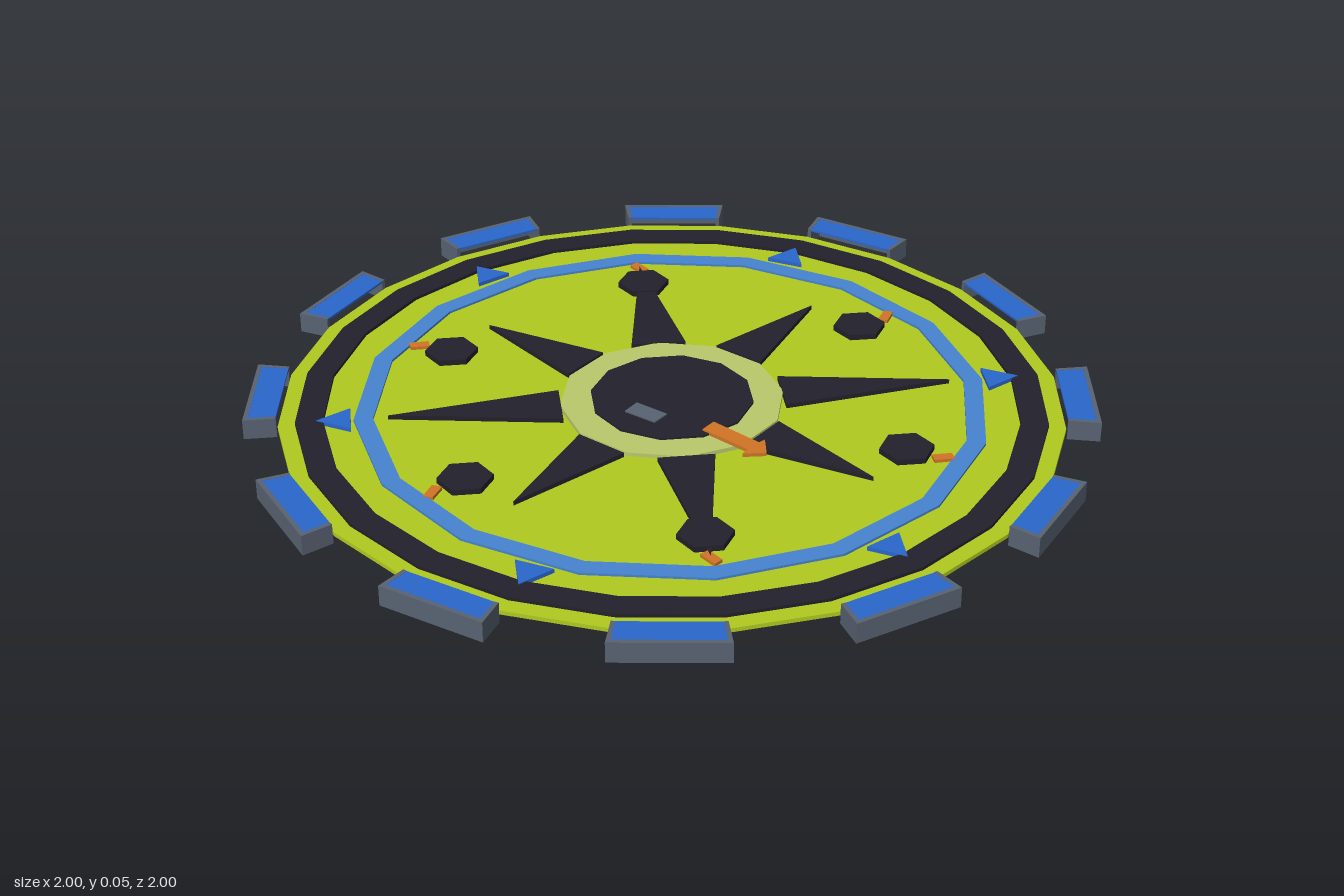
import * as THREE from 'three';

const mat = (name, color) => Object.assign(new THREE.MeshStandardMaterial({ color }), { name });

const RAD = Math.PI / 180;
// point on the plan: angle in degrees, counter-clockwise seen from above
const polar = (r, deg) => [r * Math.cos(deg * RAD), r * Math.sin(deg * RAD)];
// corners of a regular polygon
const ngon = (r, n, start = 0, cx = 0, cy = 0) =>
  Array.from({ length: n }, (_, i) => {
    const [x, y] = polar(r, start + (i * 360) / n);
    return [x + cx, y + cy];
  });
const turn = (pts, deg) => {
  const c = Math.cos(deg * RAD), s = Math.sin(deg * RAD);
  return pts.map(([x, y]) => [x * c - y * s, x * s + y * c]);
};

export function createModel() {
  const model = new THREE.Group();
  model.name = 'dialDisc';

  const lime = mat('lime', 0xb1ca20);
  const paleLime = mat('paleLime', 0xbbc96c);
  const black = mat('black', 0x22212c);
  const blue = mat('blue', 0x2a66cc);
  const lightBlue = mat('lightBlue', 0x4684d0);
  const grey = mat('grey', 0x586272);
  const orange = mat('orange', 0xd07426);

  // flat plate from a plan outline (second axis points to the back), between two heights
  function plate(name, pts, y0, y1, material, hole) {
    const v = (list) => list.map(([x, y]) => new THREE.Vector2(x, y));
    const shape = new THREE.Shape(v(pts));
    if (hole) shape.holes.push(new THREE.Path(v(hole)));
    const geo = new THREE.ExtrudeGeometry(shape, { depth: y1 - y0, bevelEnabled: false });
    geo.rotateX(-Math.PI / 2);
    geo.translate(0, y0, 0);
    const mesh = new THREE.Mesh(geo, material);
    mesh.name = name;
    model.add(mesh);
  }

  // base disc and its two rings
  const top = 0.028;
  plate('disc', ngon(0.92, 24), 0.018, top, lime);
  plate('outerRing', ngon(0.88, 24), top, 0.036, black, ngon(0.815, 24));
  plate('innerRing', ngon(0.745, 16), top, 0.034, lightBlue, ngon(0.7, 16));

  // rim teeth: open-bottomed grey walls around a blue top
  for (let i = 0; i < 12; i++) {
    const a = 75 + 30 * i, b = a + 15, t = 0.6;
    plate('toothWalls', [
      polar(0.923, a), polar(1, a), polar(1, b), polar(0.923, b),
      polar(0.923, b - t), polar(0.988, b - t), polar(0.988, a + t), polar(0.923, a + t),
    ], 0, 0.05, grey);
    plate('toothTop', [
      polar(0.923, a + t), polar(0.988, a + t), polar(0.988, b - t), polar(0.923, b - t),
    ], 0.044, 0.0495, blue);
  }

  // eight-pointed star, with shorter diagonal spikes
  for (let i = 0; i < 8; i++) {
    const tip = i % 2 ? 0.57 : 0.665;
    plate('starSpike', turn([[0.262, -0.066], [tip, 0], [0.262, 0.066]], 45 * i), top, 0.039, black);
  }

  // sixfold markers: blue triangles, hexagonal studs and orange ticks
  for (let i = 0; i < 6; i++) {
    const a = 60 * i;
    plate('triangleMarker', turn(ngon(0.053, 3, 0, 0.778, 0), a), top, 0.038, blue);
    const [hx, hy] = polar(0.58, a + 30);
    plate('hexStud', ngon(0.064, 6, 0, hx, hy), top, 0.042, black);
    plate('tickMark', turn(
      [[-0.022, 0.68], [0.002, 0.64], [0.022, 0.654], [-0.004, 0.695]], a), top, 0.036, orange);
  }

  // central hub
  plate('hubCollar', ngon(0.265, 12), top, 0.038, paleLime);
  plate('hubCap', ngon(0.193, 12, 15), 0.038, 0.043, black);
  plate('hubWindow', [[-0.118, -0.06], [-0.055, -0.118], [-0.022, -0.085], [-0.086, -0.025]],
    0.043, 0.046, grey);

  // pointer arrow lying across the hub edge
  plate('pointerArrow', [
    [0.05, -0.165], [0.14, -0.265], [0.125, -0.282], [0.18, -0.285],
    [0.185, -0.228], [0.17, -0.238], [0.08, -0.135],
  ], 0.038, 0.047, orange);

  return model;
}
